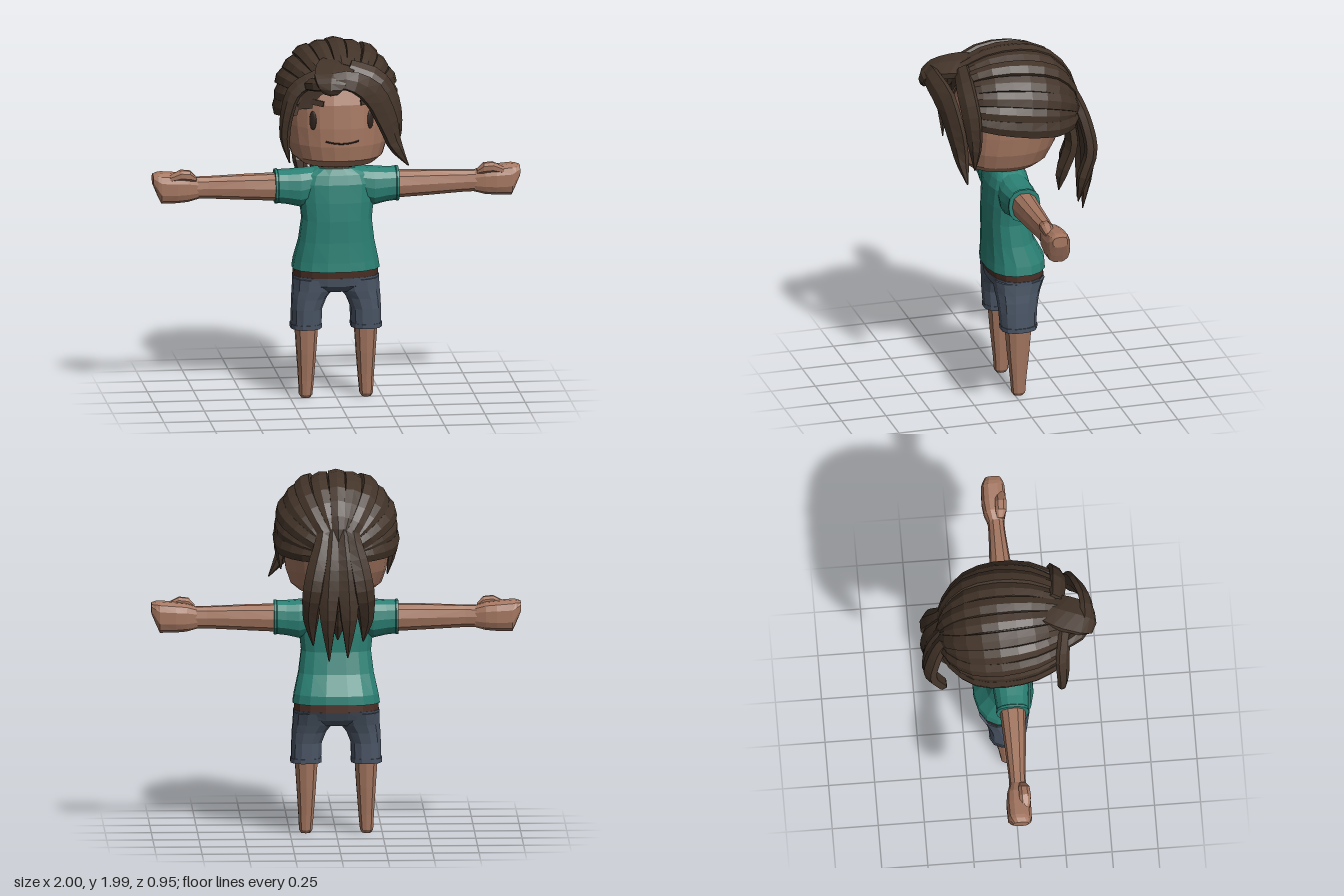
import * as THREE from 'three';

const paint = (name, color) => Object.assign(new THREE.MeshStandardMaterial({ color }), { name });
const V = (x, y, z) => new THREE.Vector3(x, y, z);

// Closed faceted solid through a list of point rings; faces are turned outward by signed volume
function skinRings(rings) {
  const n = rings[0].length, m = rings.length, pts = rings.flat(), tris = [];
  for (let i = 0; i < m - 1; i++) for (let j = 0; j < n; j++) {
    const a = i * n + j, b = i * n + (j + 1) % n;
    tris.push([a, b, b + n], [a, b + n, a + n]);
  }
  for (const end of [0, m - 1]) {
    const c = pts.length, ring = rings[end];
    pts.push(ring.reduce((s, p) => s.add(p), V(0, 0, 0)).divideScalar(n));
    for (let j = 0; j < n; j++) {
      const a = end * n + j, b = end * n + (j + 1) % n;
      tris.push(end ? [a, b, c] : [b, a, c]);
    }
  }
  let volume = 0;
  for (const [a, b, c] of tris) volume += pts[a].dot(pts[b].clone().cross(pts[c]));
  if (volume < 0) tris.forEach((t) => t.reverse());
  const g = new THREE.BufferGeometry().setFromPoints(tris.flat().map((i) => pts[i]));
  g.computeVertexNormals();
  return g;
}

// Rounded-box cross-section
function section(n, e, place) {
  return Array.from({ length: n }, (_, k) => {
    const a = (k + 0.5) / n * Math.PI * 2, c = Math.cos(a), s = Math.sin(a);
    return place(Math.sign(c) * Math.abs(c) ** (2 / e), Math.sign(s) * Math.abs(s) ** (2 / e));
  });
}
// Upright loft: rows of y, centre x, centre z, radius x, radius z
const loftY = (rows, n = 14, e = 2.4) => skinRings(rows.map(([y, cx, cz, rx, rz]) =>
  section(n, e, (u, v) => V(cx + u * rx, y, cz + v * rz))));
// Sideways loft: rows of x, centre y, centre z, radius y, radius z, mirrored by side
const loftX = (side, rows, n = 10, e = 2.4) => skinRings(rows.map(([x, cy, cz, ry, rz]) =>
  section(n, e, (u, v) => V(side * x, cy + u * ry, cz + v * rz))));

// Lock of hair: rows of x, y, z, half width; it lies flat around the head
function lock(rows, thick, steps = 10) {
  const curve = new THREE.CatmullRomCurve3(rows.map(([x, y, z]) => V(x, y, z)));
  const rings = [];
  for (let i = 0; i <= steps; i++) {
    const t = i / steps, f = t * (rows.length - 1), k = Math.min(Math.floor(f), rows.length - 2);
    const w = THREE.MathUtils.lerp(rows[k][3], rows[k + 1][3], f - k);
    const p = curve.getPoint(t), tan = curve.getTangent(t);
    const out = p.clone().sub(V(0, Math.min(1.62, p.y), -0.03));
    out.addScaledVector(tan, -out.dot(tan)).normalize();
    const across = tan.clone().cross(out), h = Math.min(thick, w * 0.8);
    rings.push(section(6, 2, (u, v) => p.clone().addScaledVector(across, u * w).addScaledVector(out, v * h)));
  }
  return skinRings(rings);
}

// Point on the swept-back hair: a = angle across the head, t = front to back
function scalp(a, t, scale) {
  const front = V(0.72 * Math.sin(a), 0.7 * Math.cos(a), 0.7).normalize();
  const back = V(0, -0.16, -1).normalize();
  const ang = front.angleTo(back);
  const d = front.multiplyScalar(Math.sin((1 - t) * ang)).addScaledVector(back, Math.sin(t * ang));
  d.divideScalar(Math.sin(ang)).normalize();
  const e = 2.4 + 0.3 * d.z, len = (Math.abs(d.x) ** e + Math.abs(d.y) ** e + Math.abs(d.z) ** e) ** (1 / e);
  d.multiplyScalar(scale / len);
  return V(d.x * 0.312, 1.62 + d.y * 0.334, -0.035 + d.z * (d.z > 0 ? 0.355 : 0.335));
}

// Head profile: y, centre z, radius x, radius z
const HEAD = [
  [1.3, 0, 0.12, 0.12], [1.33, 0.03, 0.2, 0.2], [1.37, 0.025, 0.248, 0.245], [1.45, 0.01, 0.275, 0.272],
  [1.55, -0.01, 0.288, 0.293], [1.68, -0.015, 0.292, 0.288], [1.78, -0.02, 0.27, 0.26],
  [1.87, -0.02, 0.21, 0.2], [1.92, -0.02, 0.11, 0.11],
];
function faceZ(x, y) {
  const i = HEAD.findIndex((r) => r[0] > y), a = HEAD[i - 1], b = HEAD[i];
  const [, cz, rx, rz] = a.map((v, k) => THREE.MathUtils.lerp(v, b[k], (y - a[0]) / (b[0] - a[0])));
  return cz + rz * (1 - Math.abs(x / rx) ** 2.2) ** (1 / 2.2);
}

export function createModel() {
  const skin = paint('skin', 0xa47660), hair = paint('hair', 0x433429), shirt = paint('shirt', 0x2b8175);
  const denim = paint('denim', 0x4b5666), belt = paint('belt', 0x4c3026), dark = paint('eyes', 0x30231d);
  const model = new THREE.Group();
  const add = (name, geometry, material) => {
    const mesh = new THREE.Mesh(geometry, material);
    mesh.name = name;
    model.add(mesh);
    return mesh;
  };

  // Head and neck
  add('head', loftY(HEAD.map(([y, cz, rx, rz]) => [y, 0, cz, rx, rz]), 24, 2.2), skin);
  add('neck', loftY([[1.22, 0, -0.005, 0.11, 0.08], [1.29, 0, -0.005, 0.1, 0.078], [1.34, 0, 0, 0.085, 0.075]], 12, 2), skin);

  // Face
  for (const side of [-1, 1]) {
    const x = side * 0.157;
    const yaw = Math.atan2(faceZ(x - 0.03, 1.6) - faceZ(x + 0.03, 1.6), 0.06);
    const eye = add('eye', new THREE.SphereGeometry(1, 12, 10), dark);
    eye.scale.set(0.021, 0.053, 0.008);
    eye.position.set(x, 1.595, faceZ(x, 1.595) + 0.001);
    eye.rotation.y = yaw;
    const brow = add('eyebrow', new THREE.BoxGeometry(0.13, 0.03, 0.009), hair);
    brow.position.set(x, 1.698, faceZ(x, 1.698) + 0.007);
    brow.rotation.set(-0.12, yaw, side < 0 ? -0.12 : 0.06, 'YXZ');
  }
  const smile = [-0.09, -0.05, 0, 0.05, 0.09].map((x) => {
    const y = 1.47 + 1.6 * x * x;
    return V(x, y, faceZ(x, y));
  });
  add('mouth', new THREE.TubeGeometry(new THREE.CatmullRomCurve3(smile), 16, 0.0045, 5), dark);

  // Swept-back hair: a base cap with overlapping strands
  const edge = 1.42, capRings = [];
  for (let i = 0; i <= 12; i++) {
    capRings.push(Array.from({ length: 21 }, (_, j) => scalp((j / 10 - 1) * edge, i / 12 * 0.97, 1)));
  }
  add('hairCap', skinRings(capRings), hair);
  const strands = 13;
  for (let i = 0; i < strands; i++) {
    const a = (i / (strands - 1) * 2 - 1) * edge, lift = i % 2 ? 1.005 : 1.03;
    const rows = [0, 0.15, 0.35, 0.55, 0.75, 0.9, 1].map((t, k) => {
      const p = scalp(a, t, lift + (k ? 0 : 0.025));
      return [p.x, p.y, p.z, [0.038, 0.046, 0.052, 0.05, 0.042, 0.034, 0.024][k]];
    });
    add('hairStrand', lock(rows, 0.022, 12), hair);
  }

  // Fringe: a rolled lock sweeping to the left, with a shorter lock on each side
  add('sweptFringe', lock([[-0.2, 1.8, 0.27, 0.03], [-0.13, 1.83, 0.39, 0.045], [0.02, 1.85, 0.42, 0.06],
    [0.15, 1.77, 0.385, 0.078], [0.235, 1.61, 0.35, 0.07], [0.28, 1.47, 0.33, 0.045], [0.355, 1.35, 0.32, 0.004]], 0.028, 16), hair);
  add('fringeRoot', lock([[0, 1.89, 0.17, 0.1], [-0.04, 1.885, 0.28, 0.12], [-0.07, 1.86, 0.39, 0.11],
    [-0.08, 1.82, 0.435, 0.08], [-0.08, 1.785, 0.425, 0.04]], 0.032), hair);
  add('leftSideLock', lock([[0.04, 1.89, 0.26, 0.05], [0.19, 1.83, 0.28, 0.06], [0.27, 1.7, 0.27, 0.06],
    [0.295, 1.55, 0.26, 0.045], [0.29, 1.4, 0.26, 0.004]], 0.025), hair);
  add('rightSideLock', lock([[0, 1.88, 0.28, 0.035], [-0.13, 1.85, 0.29, 0.045], [-0.255, 1.77, 0.27, 0.05],
    [-0.302, 1.64, 0.27, 0.042], [-0.312, 1.5, 0.265, 0.03], [-0.287, 1.37, 0.27, 0.004]], 0.025, 14), hair);

  // Ponytail flowing out of the gathered strands: rows of tip x, tip y, tip z, half width
  for (const [x, y, z, w] of [[-0.135, 1.1, -0.36, 0.055], [-0.05, 1.02, -0.42, 0.06], [0.05, 1, -0.42, 0.06],
    [0.135, 1.08, -0.37, 0.055], [0, 1.1, -0.3, 0.07]]) {
    const dz = z > -0.35 ? 0.07 : 0;
    add('ponytailLock', lock([[x * 0.5, 1.78, -0.31 + dz, 0.035], [x * 0.6, 1.66, -0.37 + dz, w * 0.8], [x * 0.85, 1.52, -0.42 + dz, w * 1.05],
      [x * 1.05, 1.37, -0.44 + dz, w * 1.1], [x * 1.1, 1.22, z - 0.022, w * 0.8], [x, y, z, 0.004]], 0.036, 14), hair);
  }

  // Shirt, belt and hips
  add('shirtBody', loftY([[0.72, 0, -0.036, 0.24, 0.166], [0.77, 0, -0.036, 0.232, 0.163], [0.88, 0, -0.008, 0.207, 0.132],
    [1, 0, 0.006, 0.192, 0.12], [1.1, 0, 0.002, 0.203, 0.12], [1.2, 0, -0.002, 0.212, 0.115],
    [1.25, 0, -0.004, 0.19, 0.1], [1.285, 0, -0.005, 0.115, 0.084]], 16), shirt);
  add('belt', loftY([[0.675, 0, -0.04, 0.232, 0.152], [0.73, 0, -0.036, 0.232, 0.155]], 16), belt);
  add('shortsHips', loftY([[0.6, 0, -0.03, 0.17, 0.1], [0.635, 0, -0.033, 0.236, 0.138], [0.682, 0, -0.04, 0.236, 0.154]], 16), denim);

  for (const side of [-1, 1]) {
    // Sleeve with a slim turned hem
    add('sleeve', loftX(side, [[0.1, 1.19, -0.004, 0.093, 0.085], [0.2, 1.172, -0.005, 0.105, 0.098], [0.27, 1.177, -0.006, 0.094, 0.09],
      [0.32, 1.18, -0.007, 0.091, 0.087], [0.324, 1.18, -0.007, 0.095, 0.09], [0.337, 1.18, -0.007, 0.094, 0.089]], 14), shirt);
    // Arm and fist
    add('arm', loftX(side, [[0.3, 1.177, -0.007, 0.077, 0.072], [0.5, 1.18, -0.008, 0.07, 0.06],
      [0.7, 1.182, -0.012, 0.061, 0.046], [0.8, 1.182, -0.014, 0.06, 0.045]]), skin);
    add('hand', loftX(side, [[0.75, 1.18, -0.013, 0.058, 0.042], [0.81, 1.183, -0.016, 0.077, 0.06], [0.87, 1.184, -0.016, 0.083, 0.068],
      [0.955, 1.187, -0.016, 0.087, 0.066], [0.975, 1.208, -0.014, 0.064, 0.058], [1, 1.234, -0.013, 0.03, 0.042]], 12, 2.8), skin);
    add('thumb', loftX(side, [[0.765, 1.235, 0.012, 0.014, 0.018], [0.8, 1.255, 0.018, 0.03, 0.032],
      [0.85, 1.26, 0.02, 0.03, 0.034], [0.91, 1.24, 0.018, 0.02, 0.026]], 8), skin);
    // Shorts leg, cuff and bare leg
    add('shortsLeg', loftY([[0.4, side * 0.163, -0.022, 0.083, 0.098], [0.5, side * 0.16, -0.02, 0.084, 0.105],
      [0.56, side * 0.147, -0.023, 0.095, 0.113], [0.605, side * 0.127, -0.028, 0.111, 0.124], [0.67, side * 0.118, -0.038, 0.117, 0.14]], 12), denim);
    add('shortsCuff', loftY([[0.39, side * 0.164, -0.023, 0.086, 0.101], [0.415, side * 0.164, -0.023, 0.087, 0.103]], 12), denim);
    add('leg', loftY([[0, side * 0.165, -0.022, 0.025, 0.027], [0.018, side * 0.165, -0.022, 0.037, 0.039],
      [0.1, side * 0.163, -0.022, 0.043, 0.046], [0.25, side * 0.162, -0.022, 0.054, 0.063], [0.41, side * 0.162, -0.022, 0.065, 0.077]], 10), skin);
  }
  return model;
}
